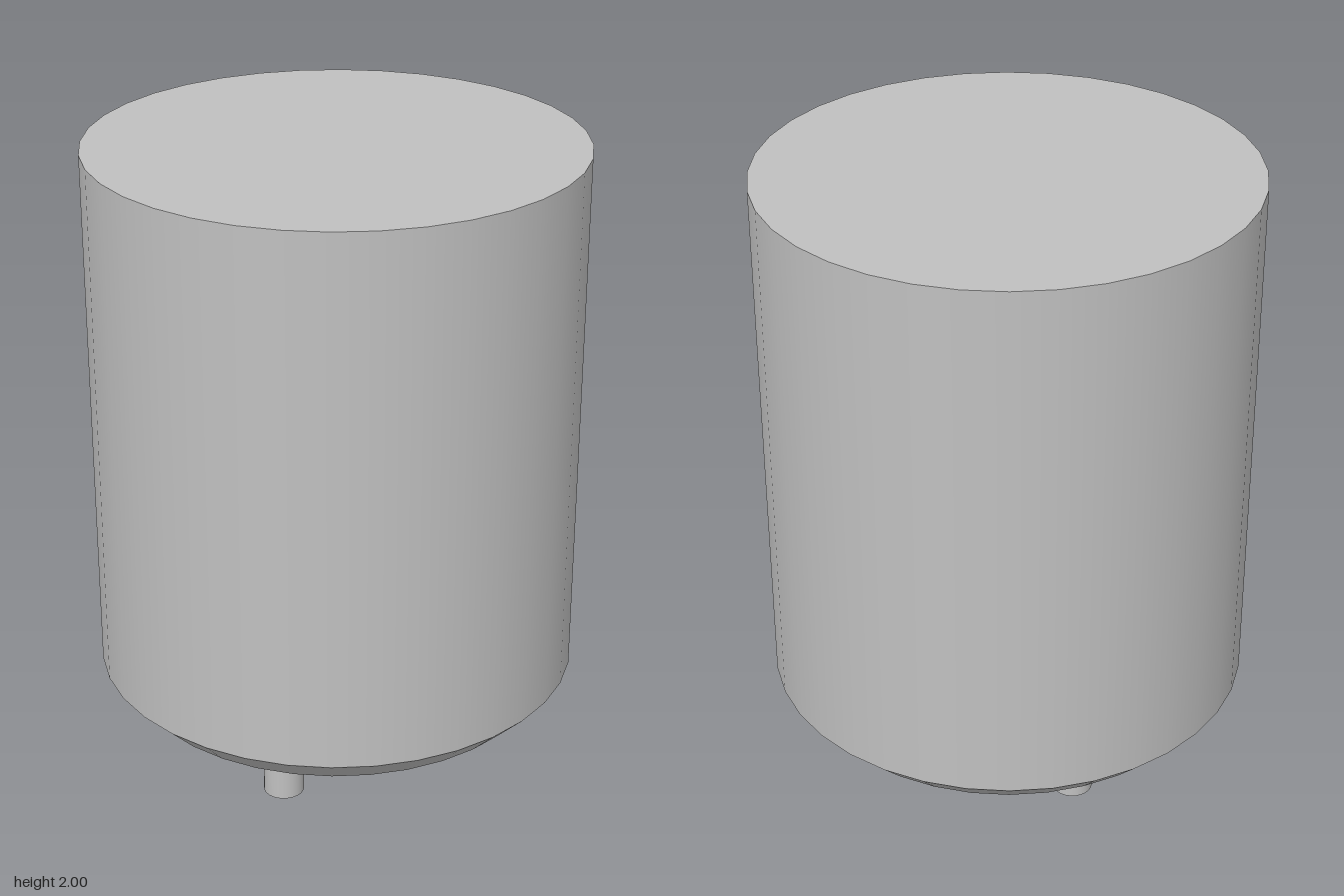
import * as THREE from 'three';

export function createModel() {
  const group = new THREE.Group();
  const metal = new THREE.MeshStandardMaterial({ color: 0xc0c0c0 });
  metal.name = 'grey metal';

  // Cylinder or cone section spanning two heights
  function add(name, rTop, rBottom, y0, y1, sides, open, x = 0, z = 0) {
    const geometry = new THREE.CylinderGeometry(rTop, rBottom, y1 - y0, sides, 1, open);
    const mesh = new THREE.Mesh(geometry, metal);
    mesh.name = name;
    mesh.position.set(x, (y0 + y1) / 2, z);
    group.add(mesh);
    return mesh;
  }

  const R = 0.73, rBase = 0.645, yBase = 0.29, yChamfer = 0.375;

  // Can: straight wall, chamfered lower rim, flat end discs
  add('canWall', R, R, yChamfer, 2, 36, true);
  add('chamfer', R, rBase, yBase, yChamfer, 36, true);
  for (const [name, r, y, turn] of [['topDisc', R, 2, -1], ['baseDisc', rBase, yBase, 1]]) {
    const disc = new THREE.Mesh(new THREE.CircleGeometry(r, 36), metal);
    disc.name = name;
    disc.rotation.x = turn * Math.PI / 2;
    disc.position.y = y;
    group.add(disc);
  }

  // Three pins evenly spaced on a circle
  for (let i = 0; i < 3; i++) {
    const a = i * Math.PI * 2 / 3;
    add('pin' + (i + 1), 0.062, 0.062, 0, yBase, 24, false,
      0.313 * Math.cos(a), 0.313 * Math.sin(a));
  }
  return group;
}
